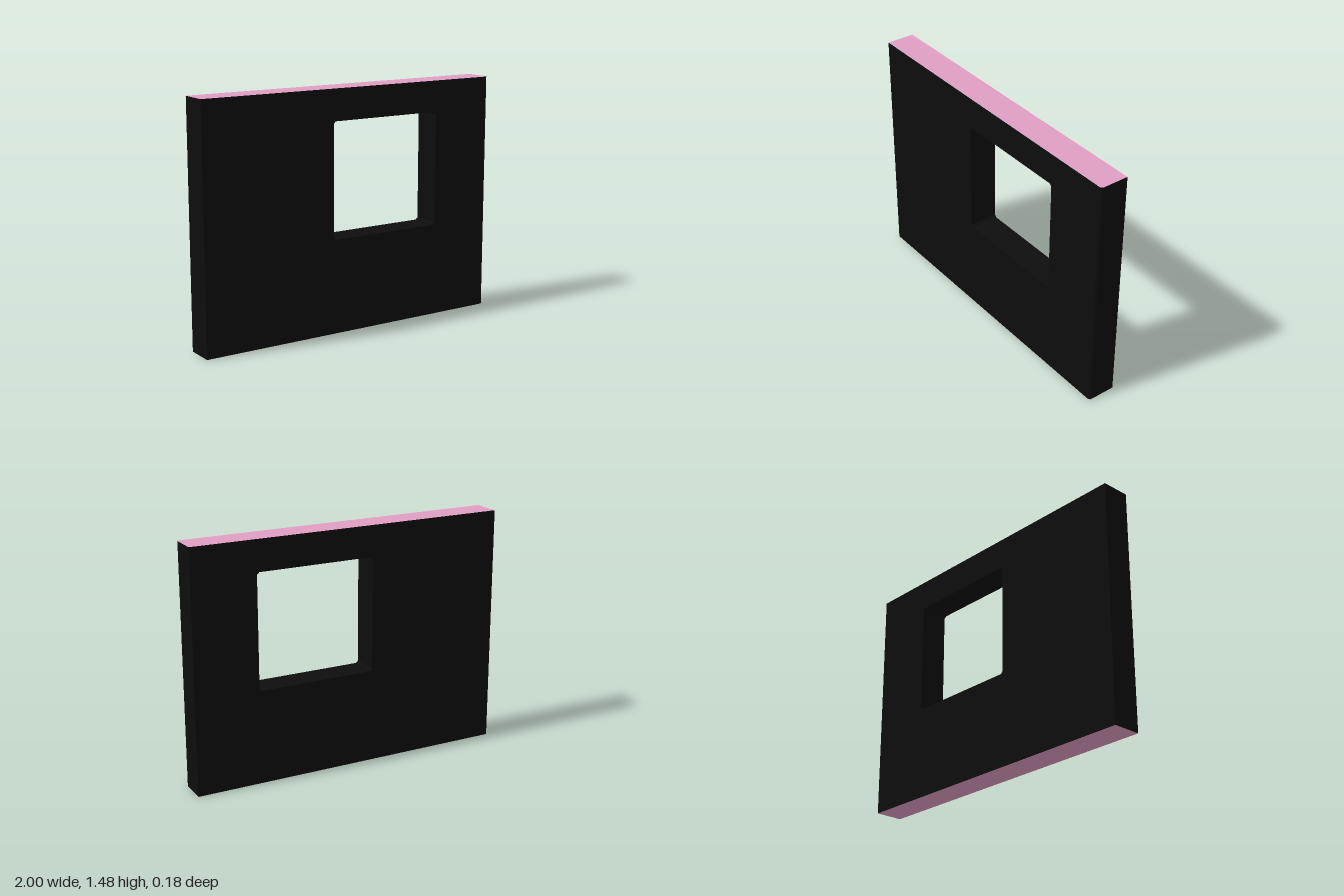
import * as THREE from 'three';

const HEIGHT = 1.475, DEPTH = 0.176, CHAMFER = 0.011;

// Rectangle with its four corners cut at 45 degrees
function cutRectangle(x0, x1, y0, y1, c) {
  return [
    [x0 + c, y0], [x1 - c, y0], [x1, y0 + c], [x1, y1 - c],
    [x1 - c, y1], [x0 + c, y1], [x0, y1 - c], [x0, y0 + c],
  ].map(([x, y]) => new THREE.Vector2(x, y));
}

// Slab with the window opening, and a slim chamfer on its front left upright edge
function wallGeometry() {
  const shape = new THREE.Shape([[-1, 0], [1, 0], [1, HEIGHT], [-1, HEIGHT]].map(([x, y]) => new THREE.Vector2(x, y)));
  shape.holes.push(new THREE.Path(cutRectangle(-0.145, 0.6, 0.577, 1.284, 0.014)));
  const geometry = new THREE.ExtrudeGeometry(shape, { depth: DEPTH, steps: 2, bevelEnabled: false });
  const p = geometry.attributes.position;
  for (let i = 0; i < p.count; i++) {
    const z = p.getZ(i);
    if (Math.abs(z - DEPTH / 2) < 0.001) p.setZ(i, DEPTH - CHAMFER);
    if (z > DEPTH - 0.001 && p.getX(i) > 0.999) p.setX(i, 1 - CHAMFER);
  }
  return geometry.translate(0, 0, -DEPTH / 2);
}

// Keep only the triangles that pass the test
function pickTriangles(geometry, test) {
  const p = geometry.attributes.position, kept = [];
  for (let i = 0; i < p.count; i += 3) {
    const corners = [0, 1, 2].map((k) => new THREE.Vector3().fromBufferAttribute(p, i + k));
    if (test(corners)) kept.push(...corners);
  }
  const result = new THREE.BufferGeometry().setFromPoints(kept);
  result.computeVertexNormals();
  return result;
}

export function createModel() {
  const group = new THREE.Group();
  group.name = 'wallWithWindow';
  const wall = wallGeometry();
  const lies = (y) => (corners) => corners.every((v) => Math.abs(v.y - y) < 0.001);
  const isTop = lies(HEIGHT), isBottom = lies(0);

  const add = (name, color, test) => {
    const mesh = new THREE.Mesh(pickTriangles(wall, test), new THREE.MeshStandardMaterial({ color }));
    mesh.name = name;
    group.add(mesh);
  };
  // Dark faces and window reveal, pink cut faces above and below
  add('wallFaces', 0x0d0d0d, (c) => !isTop(c) && !isBottom(c));
  add('topFace', 0xdf9ec3, isTop);
  add('bottomFace', 0xdf9ec3, isBottom);
  return group;
}
